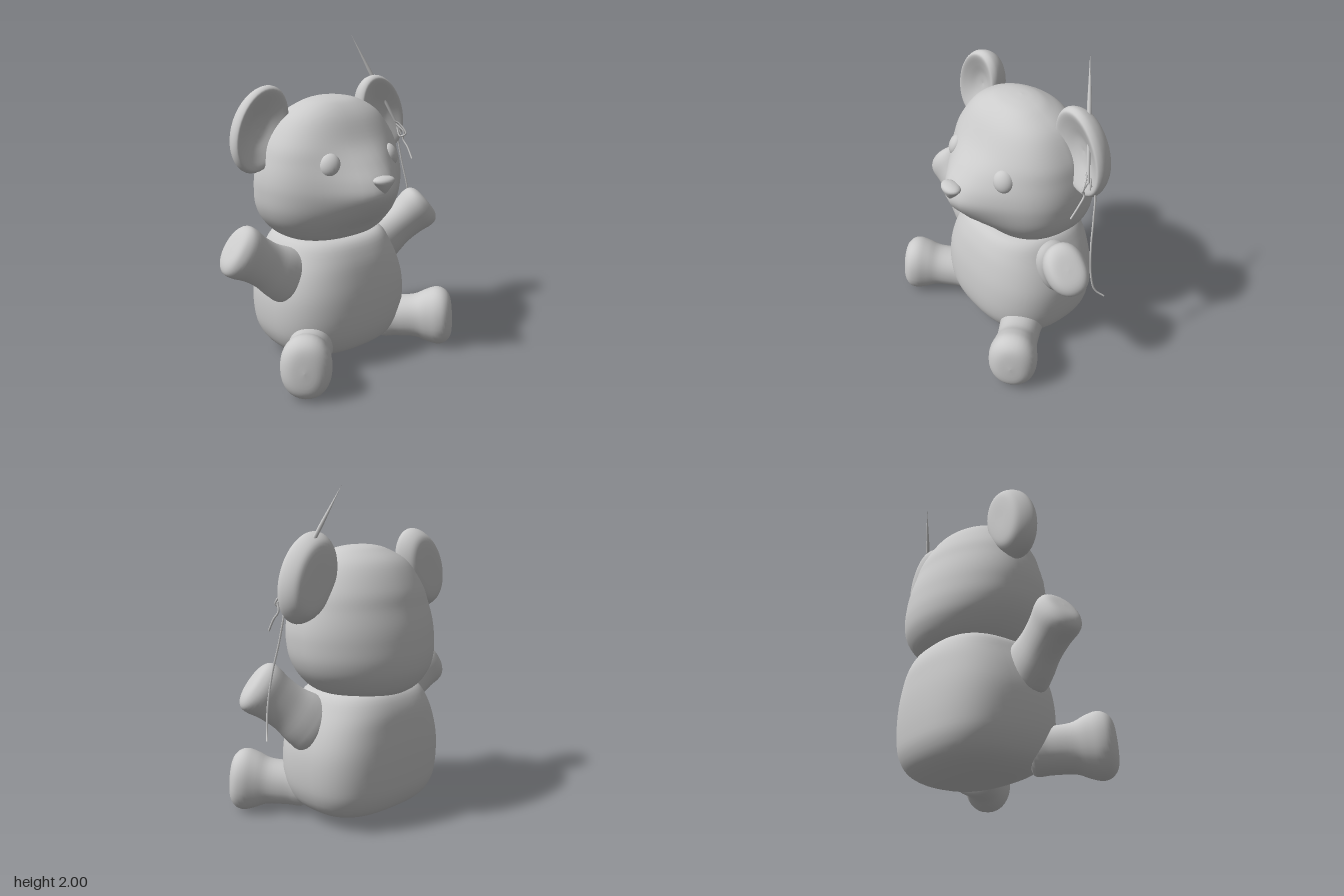
import * as THREE from 'three';

const MID = 0.03; // the toy's own symmetry plane
const V = (x, y, z) => new THREE.Vector3(x, y, z);
const material = new THREE.MeshStandardMaterial({ color: 0xcccccc });

function part(name, geometry) {
  const mesh = new THREE.Mesh(geometry, material);
  mesh.name = name;
  return mesh;
}

// Smooth skin through oval rings, top first: [halfWidth, y, front z, back z, snout bulge].
// The powers below 1 make the front or back half of each oval squarer.
function loft(rings, frontPower, backPower, steps = 40, around = 48) {
  const size = new THREE.CatmullRomCurve3(rings.map((r) => V(r[0], r[1], r[2])), false, 'catmullrom', 0.5);
  const depth = new THREE.CatmullRomCurve3(rings.map((r) => V(r[3], r[4] || 0, 0)), false, 'catmullrom', 0.5);
  const pos = [], index = [];
  const squash = (v, power) => Math.sign(v) * Math.abs(v) ** power;
  for (let i = 0; i <= steps; i++) {
    const { x: w, y, z: front } = size.getPoint(i / steps);
    const { x: back, y: bulge } = depth.getPoint(i / steps);
    for (let j = 0; j < around; j++) {
      const a = (j / around) * Math.PI * 2;
      const power = Math.cos(a) > 0 ? frontPower : backPower;
      const x = Math.max(w, 0) * squash(Math.sin(a), power), c = squash(Math.cos(a), power);
      const snout = c > 0 ? bulge * Math.exp(-x * x / 0.055) * Math.min(1, c * 1.5) : 0;
      pos.push(x, y, (front + back) / 2 + (front - back) / 2 * c + snout);
      if (i < steps) {
        const k = i * around, n = (j + 1) % around;
        index.push(k + j, k + around + j, k + n, k + n, k + around + j, k + around + n);
      }
    }
  }
  const g = new THREE.BufferGeometry();
  g.setAttribute('position', new THREE.Float32BufferAttribute(pos, 3));
  g.setIndex(index);
  g.computeVertexNormals();
  return g;
}

// Points a mesh's +y from base to tip, with its local z kept close to ref
function aim(mesh, base, tip, ref) {
  const dir = tip.clone().sub(base).normalize();
  const x = dir.clone().cross(ref).normalize();
  const z = x.clone().cross(dir);
  mesh.quaternion.setFromRotationMatrix(new THREE.Matrix4().makeBasis(x, dir, z));
  mesh.position.copy(tip);
  return mesh;
}

// Limb with its tip at the origin; rows are [half width, distance from tip, half depth]
const limb = (rows) => loft(rows.map(([w, d, h]) => [w, -d, h, -h]), 0.92, 0.92, 32, 32);

export function createModel() {
  const model = new THREE.Group();
  model.name = 'stuffedBear';

  // Body
  const body = part('body', loft([
    [0, 0.812, -0.1, -0.1], [0.25, 0.812, 0.09, -0.31], [0.34, 0.795, 0.2, -0.395], [0.4, 0.7, 0.26, -0.45],
    [0.455, 0.58, 0.295, -0.47], [0.488, 0.45, 0.317, -0.48], [0.49, 0.3, 0.322, -0.478], [0.465, 0.18, 0.3, -0.46],
    [0.4, 0.085, 0.235, -0.395], [0.26, 0.028, 0.09, -0.25], [0, 0.014, -0.08, -0.08],
  ], 0.83, 0.73));
  body.position.x = MID;

  // Head with snout
  const head = part('head', loft([
    [0, 1.66, -0.09, -0.09], [0.1, 1.652, -0.01, -0.16], [0.2, 1.625, 0.065, -0.23], [0.325, 1.55, 0.145, -0.335],
    [0.425, 1.41, 0.215, -0.42, 0.02], [0.465, 1.3, 0.238, -0.455, 0.1], [0.487, 1.2, 0.255, -0.485, 0.165],
    [0.49, 1.11, 0.26, -0.502, 0.18], [0.475, 1.0, 0.248, -0.512, 0.115], [0.425, 0.9, 0.215, -0.495, 0.03],
    [0.33, 0.81, 0.15, -0.43], [0.18, 0.76, 0.03, -0.3], [0, 0.75, -0.1, -0.1],
  ], 0.82, 1.04, 60, 64));
  head.position.x = MID;
  model.add(body, head);

  // Nose: rounded wedge, wide and flat on top
  const noseGeo = new THREE.SphereGeometry(1, 24, 16);
  const p = noseGeo.attributes.position;
  for (let i = 0; i < p.count; i++) {
    const y = p.getY(i);
    p.setXYZ(i, p.getX(i) * (0.06 + 0.05 * y), y * (y > 0 ? 0.045 : 0.068), p.getZ(i) * (0.047 + 0.022 * y));
  }
  noseGeo.computeVertexNormals();
  const nose = part('nose', noseGeo);
  nose.position.set(MID, 1.2, 0.425);
  model.add(nose);

  // Shallow dished ear, lathe axis turned to face forward
  const earProfile = new THREE.SplineCurve([
    [0, -0.072], [0.45, -0.072], [0.75, -0.06], [0.92, -0.02], [1, 0.03], [0.96, 0.063], [0.86, 0.07], [0.6, 0.048], [0.3, 0.022], [0, 0.012],
  ].map((q) => new THREE.Vector2(...q))).getPoints(36).map((q) => q.setX(Math.max(q.x, 0)));
  const earGeo = new THREE.LatheGeometry(earProfile, 40).rotateX(Math.PI / 2).scale(0.174, 0.266, 1);

  // Legs flare into tall feet
  const legGeo = limb([
    [0, 0, 0], [0.085, 0.01, 0.12], [0.137, 0.045, 0.175], [0.152, 0.1, 0.194], [0.142, 0.17, 0.175],
    [0.13, 0.25, 0.142], [0.134, 0.38, 0.134], [0.135, 0.48, 0.125], [0, 0.5, 0],
  ]);
  const sides = [['right', -1], ['left', 1]];
  for (const [side, s] of sides) {
    const ear = part(side + 'Ear', earGeo);
    ear.position.set(MID + s * 0.475, 1.492, -0.168);
    ear.rotation.z = s * 0.42;

    const eye = part(side + 'Eye', new THREE.SphereGeometry(1, 24, 16));
    eye.scale.set(0.063, 0.07, 0.045);
    eye.position.set(MID + s * 0.236, 1.307, 0.22);
    eye.rotation.set(-0.35, s * 0.6, s * 0.2, 'YXZ');

    const leg = aim(part(side + 'Leg', legGeo),
      V(MID + s * 0.285, 0.165, 0.1), V(MID + s * 0.612, 0.2, 0.46), V(0, 1, 0));
    model.add(ear, eye, leg);
  }

  // Arms raised at slightly different angles
  const armGeo = limb([
    [0, 0, 0], [0.1, 0.006, 0.078], [0.152, 0.035, 0.112], [0.16, 0.085, 0.127], [0.145, 0.17, 0.118],
    [0.143, 0.28, 0.114], [0.165, 0.4, 0.125], [0.155, 0.49, 0.115], [0, 0.53, 0],
  ]);
  model.add(
    aim(part('rightArm', armGeo), V(-0.36, 0.59, 0), V(-0.737, 0.858, -0.022), V(0, 0, 1)),
    aim(part('leftArm', armGeo), V(0.37, 0.57, -0.09), V(0.725, 0.9, 0.108), V(0, 0, 1)),
  );

  // Needle through the left ear
  const eyeEnd = V(0.635, 1.37, -0.08), point = V(0.37, 1.995, -0.278);
  const length = eyeEnd.distanceTo(point);
  const needle = part('needle', new THREE.LatheGeometry([
    [0, -length], [0.008, 0.01 - length], [0.012, -0.35], [0.012, -0.25], [0, 0],
  ].map((q) => new THREE.Vector2(...q)), 10));
  model.add(aim(needle, eyeEnd, point, V(0, 0, 1)));

  // Thread: long tail, short tail and the knot at the needle's eye
  const strand = (name, points) => model.add(part(name,
    new THREE.TubeGeometry(new THREE.CatmullRomCurve3(points), 48, 0.006, 6)));
  strand('longThread', [V(0.62, 1.4, -0.08), V(0.655, 1.31, -0.115), V(0.68, 1.15, -0.1),
    V(0.71, 0.97, -0.07), V(0.74, 0.78, -0.06), V(0.765, 0.66, -0.08), V(0.8, 0.61, -0.125)]);
  strand('shortThread', [V(0.61, 1.41, -0.09), V(0.635, 1.36, -0.04), V(0.64, 1.31, -0.05),
    V(0.645, 1.26, -0.01), V(0.64, 1.19, 0.04)]);
  strand('threadKnot', [V(0.6, 1.43, -0.09), V(0.625, 1.41, -0.07), V(0.645, 1.35, -0.03),
    V(0.62, 1.33, -0.06), V(0.63, 1.4, -0.1), V(0.65, 1.34, -0.08)]);

  return model;
}
